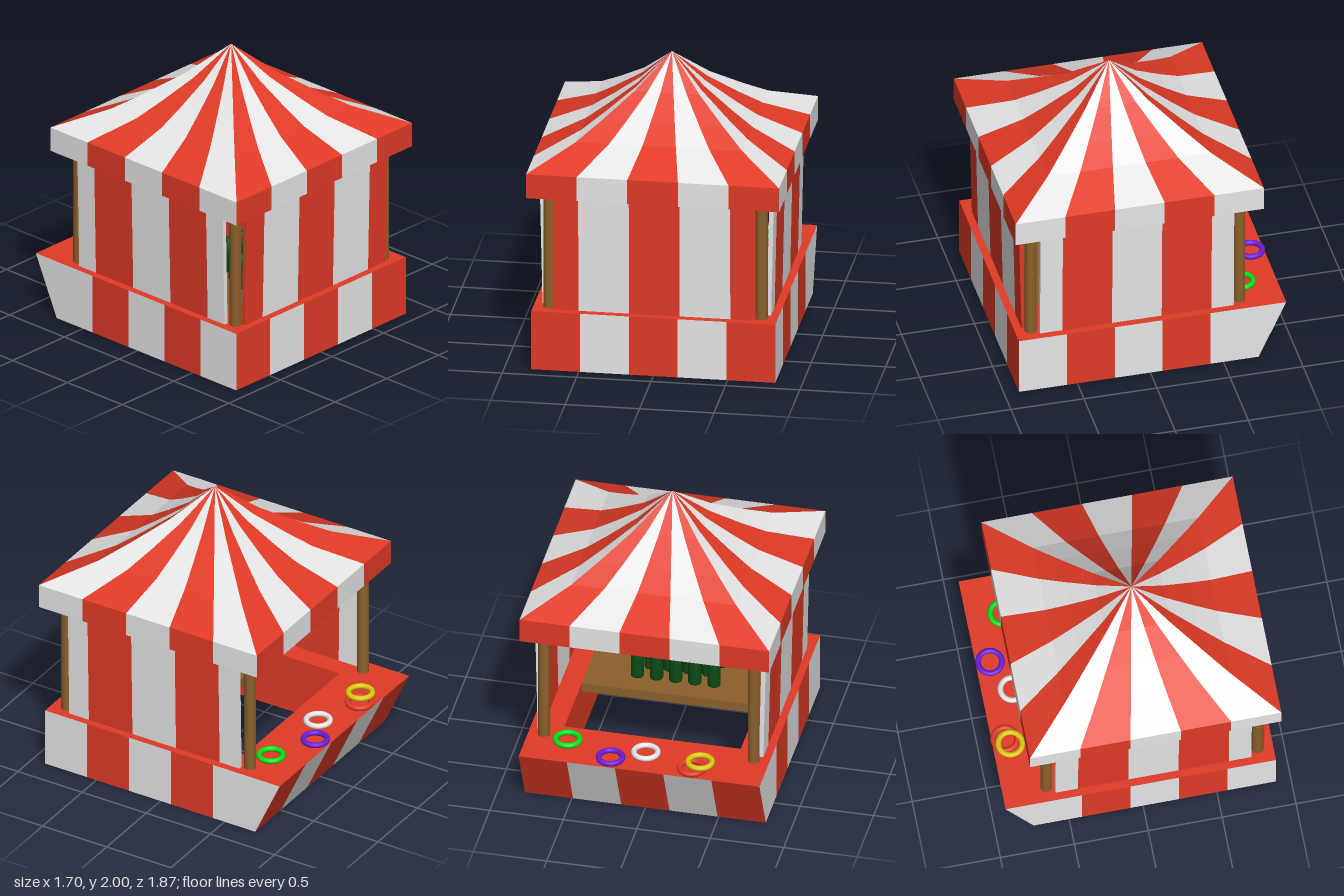
import * as THREE from 'three';

const paint = (name, color) => {
  const m = new THREE.MeshStandardMaterial({ color });
  m.name = name;
  return m;
};

export function createModel() {
  const red = paint('red', 0xe03a26);
  const white = paint('white', 0xe6e6e6);
  const wood = paint('wood', 0x8c602c);
  const bottleGreen = paint('bottle green', 0x0b4a16);
  const yellow = paint('yellow', 0xdcc80c);
  const purple = paint('purple', 0x6a1cd8);
  const green = paint('bright green', 0x06e01a);

  const model = new THREE.Group();
  model.name = 'ringTossStall';
  const centre = 0.08; // the stall sits forward of its overhanging counter

  const add = (parent, name, geometry, material, x = 0, y = 0, z = 0) => {
    const mesh = new THREE.Mesh(geometry, material);
    mesh.name = name;
    mesh.position.set(x, y, z);
    parent.add(mesh);
    return mesh;
  };
  const group = (name, z = 0) => {
    const g = new THREE.Group();
    g.name = name;
    g.position.z = z;
    model.add(g);
    return g;
  };
  // Red ends on the front and back, white ends on the sides
  const isRed = (side, stripe) => (side + stripe) % 2 === 0;

  // Corner of a square ring {h: half size, y, back: own distance of the back edge}
  const cornerAt = (side, a, { h, y, back = h }) => {
    const u = a * h;
    const [x, z] = [[u, h], [h, -u], [-u, -h], [-h, u]][side];
    return [x, y, Math.abs(z + h) < 1e-6 ? -back : z];
  };

  // Square shell swept through rings, five stripes a side; outside down, inside up
  function stripedShell(parent, name, rings, stripedSegments) {
    const points = { red: [], white: [] };
    for (let i = 0; i < rings.length - 1; i++) {
      for (let side = 0; side < 4; side++) {
        for (let s = 0; s < 5; s++) {
          const a0 = -1 + s * 0.4, a1 = a0 + 0.4;
          const A = cornerAt(side, a0, rings[i]), D = cornerAt(side, a1, rings[i]);
          const B = cornerAt(side, a0, rings[i + 1]), C = cornerAt(side, a1, rings[i + 1]);
          const list = i >= stripedSegments || isRed(side, s) ? points.red : points.white;
          if (rings[i + 1].h > 0) list.push(...A, ...B, ...C);
          if (rings[i].h > 0) list.push(...A, ...C, ...D);
        }
      }
    }
    for (const [key, material] of [['red', red], ['white', white]]) {
      const g = new THREE.BufferGeometry();
      g.setAttribute('position', new THREE.Float32BufferAttribute(points[key], 3));
      g.computeVertexNormals();
      add(parent, `${name} ${key} stripes`, g, material);
    }
  }

  // Swept tent roof with valance, soffit and lining
  const ring = ([h, y]) => ({ h, y });
  const roof = [
    [0, 2], [0.22, 1.785], [0.41, 1.64], [0.56, 1.535], [0.85, 1.4], [0.85, 1.23],
    [0.6, 1.23], [0.55, 1.5], [0.4, 1.61], [0.21, 1.75], [0, 1.96],
  ].map(ring);
  stripedShell(group('roof', centre), 'roof', roof, roof.length);

  // Hollow base with a leaning counter at the back
  const base = [
    { h: 0.82, y: 0.415, back: 1.01 }, { h: 0.82, y: 0 }, { h: 0.6, y: 0 },
    { h: 0.6, y: 0.415 }, { h: 0.82, y: 0.415, back: 1.01 },
  ];
  stripedShell(group('base', centre), 'base', base, 1);

  // Thin striped walls on the front and both sides, leaning slightly outward
  const walls = group('walls', centre);
  const edges = [-0.68, -0.51, -0.17, 0.17, 0.51, 0.68];
  const bottom = 0.41, height = 0.84;
  [0, 1, 3].forEach((side) => {
    const wall = new THREE.Group();
    wall.name = ['frontWall', 'leftWall', '', 'rightWall'][side];
    wall.rotation.y = side * Math.PI / 2;
    walls.add(wall);
    const trim = side === 0 ? 1 : 0.975;
    for (let s = 0; s < 5; s++) {
      const x0 = s === 0 ? edges[0] * trim : edges[s];
      const x1 = s === 4 ? edges[5] * trim : edges[s + 1];
      const g = new THREE.BoxGeometry(x1 - x0, height, 0.03);
      const p = g.attributes.position;
      for (let i = 0; i < p.count; i++) p.setZ(i, p.getZ(i) + 0.018 * (p.getY(i) / height));
      g.computeVertexNormals();
      add(wall, 'wallStripe', g, isRed(side, s) ? red : white, (x0 + x1) / 2, bottom + height / 2, 0.762);
    }
  });

  // Corner posts
  const posts = group('posts', centre);
  const postShape = new THREE.CylinderGeometry(0.04, 0.04, 0.83, 16);
  for (const x of [-0.714, 0.714]) {
    for (const z of [-0.714, 0.714]) add(posts, 'post', postShape, wood, x, 0.825, z);
  }

  // Bottle table inside the stall
  const table = group('bottleTable');
  add(table, 'tableTop', new THREE.BoxGeometry(1.2, 0.065, 0.68), wood, 0, 0.385, 0.34);
  const bottleShape = new THREE.LatheGeometry([
    [0, 0], [0.043, 0], [0.045, 0.01], [0.045, 0.15], [0.041, 0.18],
    [0.032, 0.205], [0.028, 0.225], [0.016, 0.24], [0, 0.243],
  ].map(([x, y]) => new THREE.Vector2(x, y)), 16);
  for (let row = 0; row < 3; row++) {
    const count = row % 2 ? 4 : 5;
    for (let i = 0; i < count; i++) {
      add(table, 'bottle', bottleShape, bottleGreen, (i - (count - 1) / 2) * 0.13, 0.417, 0.18 + row * 0.12);
    }
  }

  // Throwing rings on the counter
  const rings = group('throwingRings');
  const ringShape = new THREE.TorusGeometry(0.08, 0.019, 12, 32).rotateX(Math.PI / 2);
  [
    ['greenRing', green, 0.54, 0.436, -0.69],
    ['purpleRing', purple, 0.215, 0.436, -0.835],
    ['whiteRing', white, 0, 0.436, -0.725],
    ['redRing', red, -0.337, 0.436, -0.84],
    ['yellowRing', yellow, -0.39, 0.475, -0.815],
  ].forEach(([name, material, x, y, z]) => add(rings, name, ringShape, material, x, y, z));

  return model;
}
